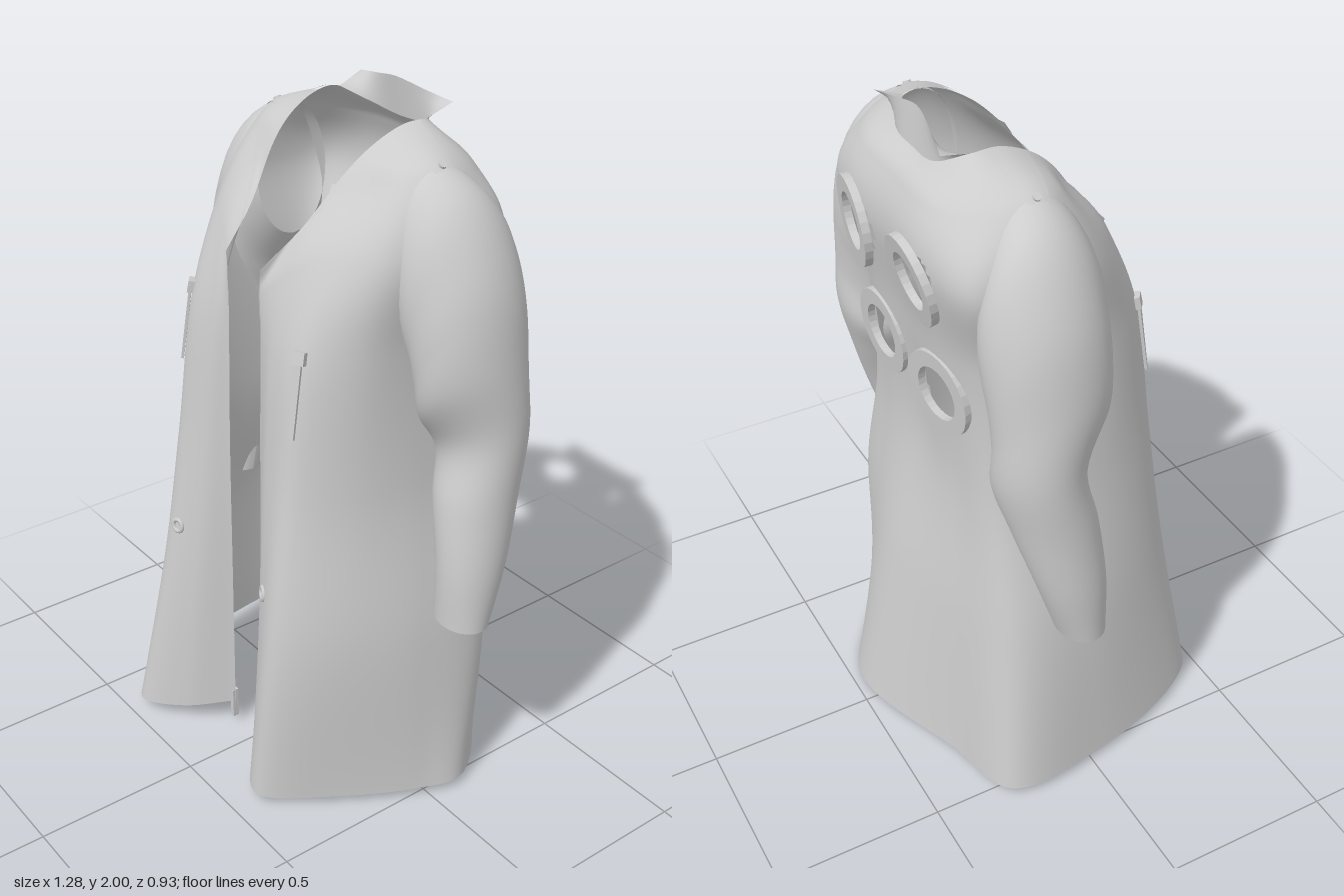
import * as THREE from 'three';

const cloth = new THREE.MeshStandardMaterial({ color: 0xcccccc, side: THREE.DoubleSide });
cloth.name = 'grey cloth';

const V = (x, y, z) => new THREE.Vector3(x, y, z);
const smooth = (pts, n) => {
  const curve = new THREE.CatmullRomCurve3(pts, false, 'catmullrom', 0.5);
  return Array.from({ length: n + 1 }, (_, i) => curve.getPoint(i / n));
};

// Smooth sheet through rows of points; faces where skip(centre) is true are left open
function loft(rows, nu, nv, skip = () => false) {
  const across = rows.map(r => smooth(r, nu));
  const cols = across[0].map((_, i) => smooth(across.map(r => r[i]), nv));
  const pos = [], index = [], id = (i, j) => i * (nv + 1) + j;
  cols.forEach(c => c.forEach(p => pos.push(p.x, p.y, p.z)));
  for (let i = 0; i < nu; i++) for (let j = 0; j < nv; j++) {
    const mid = cols[i][j].clone().add(cols[i + 1][j + 1]).multiplyScalar(0.5);
    if (skip(mid)) continue;
    index.push(id(i, j), id(i + 1, j), id(i + 1, j + 1), id(i, j), id(i + 1, j + 1), id(i, j + 1));
  }
  const g = new THREE.BufferGeometry();
  g.setAttribute('position', new THREE.Float32BufferAttribute(pos, 3));
  g.setIndex(index);
  g.computeVertexNormals();
  return g;
}

// Half cross-sections from the front edge round to the back, then the back centre
const hemRight = [[.09, .09, .27], [.2, .06, .395], [.34, .04, .462], [.455, .03, .31], [.54, .03, .03], [.55, .03, -.27], [.3, .015, -.355]];
const hemLeft = [[.06, .06, .25], [.14, .045, .37], [.255, .03, .42], [.39, .03, .25], [.51, .03, .03], [.535, .03, -.13], [.33, .015, -.34]];
const halves = [
  [[.075, .55, .265], [.17, .55, .35], [.29, .55, .38], [.41, .55, .235], [.485, .55, .01], [.47, .55, -.23], [.26, .55, -.32], [.03, .55, -.37]],
  [[.075, 1, .26], [.16, 1, .31], [.28, 1, .31], [.375, 1, .16], [.405, 1, -.04], [.37, 1, -.23], [.2, 1, -.28], [0, 1, -.28]],
  [[.075, 1.4, .25], [.15, 1.4, .27], [.27, 1.4, .255], [.36, 1.4, .13], [.38, 1.4, -.06], [.36, 1.4, -.24], [.2, 1.4, -.31], [0, 1.4, -.31]],
  [[.075, 1.51, .25], [.17, 1.62, .205], [.28, 1.66, .145], [.375, 1.67, .06], [.42, 1.68, -.08], [.4, 1.67, -.295], [.22, 1.68, -.36], [0, 1.68, -.36]],
  [[.075, 1.55, .25], [.14, 1.72, .14], [.24, 1.81, .04], [.32, 1.85, -.02], [.37, 1.86, -.11], [.33, 1.84, -.24], [.2, 1.83, -.32], [0, 1.83, -.325]],
  [[.08, 1.59, .25], [.115, 1.7, .15], [.155, 1.83, .05], [.175, 1.9, -.03], [.185, 1.94, -.12], [.185, 1.94, -.2], [.11, 1.9, -.26], [0, 1.89, -.265]],
];
const ring = (right, centre, left) => [
  ...right.map(([x, y, z]) => V(-x, y, z)), V(...centre),
  ...left.map(([x, y, z]) => V(x, y, z)).reverse()];
const bodyRows = [ring(hemRight, [.08, .005, -.47], hemLeft)];
for (const h of halves) {
  const side = h.slice(0, 7);
  const row = ring(side, h[7], side);
  row[0].x -= .015;
  row[14].x -= .015;
  bodyRows.push(row);
}

// Round back openings: x, y, z
const vents = [[-.18, 1.63, -.36], [.155, 1.63, -.36], [-.18, 1.26, -.29], [.155, 1.26, -.29]];

export function createModel() {
  const coat = new THREE.Group();
  const add = (name, geo) => {
    const m = new THREE.Mesh(geo, cloth);
    m.name = name;
    coat.add(m);
    return m;
  };

  // Open-fronted body with four round openings in the back
  const bodyGeo = loft(bodyRows, 150, 120, p => p.z < -.15 &&
    vents.some(([x, y]) => Math.hypot(p.x - x, p.y - y) < .086));
  add('body', bodyGeo);

  // Point and outward normal on the body surface nearest a target
  const P = bodyGeo.attributes.position, N = bodyGeo.attributes.normal;
  function snap(t) {
    let best = 0, bd = Infinity;
    const v = V(), n = V();
    for (let i = 0; i < P.count; i++) {
      const d = v.fromBufferAttribute(P, i).distanceToSquared(t);
      if (d < bd && n.fromBufferAttribute(N, i).lengthSq() > 0) { bd = d; best = i; }
    }
    v.fromBufferAttribute(P, best);
    n.fromBufferAttribute(N, best).normalize();
    if (n.dot(V(v.x, .3, v.z + .05)) < 0) n.negate();
    return { p: t.clone().addScaledVector(n, -t.clone().sub(v).dot(n)), n };
  }
  function place(mesh, t, up = V(0, 1, 0)) {
    const { p, n } = snap(t);
    const x = up.clone().cross(n).normalize();
    mesh.position.copy(p);
    mesh.quaternion.setFromRotationMatrix(new THREE.Matrix4().makeBasis(x, n.clone().cross(x), n));
    mesh.updateMatrix();
  }
  // Thin patch that follows the cloth, narrowing towards its top
  function drape(name, w, h, taper, t, up) {
    const geo = new THREE.PlaneGeometry(w, h, 6, 8), a = geo.attributes.position;
    const mesh = add(name, geo), q = V();
    place(mesh, t, up);
    for (let i = 0; i < a.count; i++) {
      q.fromBufferAttribute(a, i);
      q.x *= 1 - taper * (q.y / h + .5);
      const s = snap(q.applyMatrix4(mesh.matrix));
      a.setXYZ(i, ...s.p.addScaledVector(s.n, .005).toArray());
    }
    mesh.position.set(0, 0, 0);
    mesh.quaternion.identity();
    geo.computeVertexNormals();
  }

  // Stand-up collar at the back of the neck
  const base = bodyRows[6].slice(5, 10);
  const top = [[-.205, 1.965, -.29], [-.1, 1.985, -.265], [0, 2, -.25], [.1, 1.985, -.265], [.19, 1.97, -.285]].map(p => V(...p));
  add('collar', loft([base, top], 24, 4));

  // Sleeves: outer x, y, inner x, y, centre z, depth radius
  const sleeve = [
    [.3, 1.885, .28, 1.5, -.11, .12], [.37, 1.87, .34, 1.4, -.115, .155], [.45, 1.815, .36, 1.33, -.125, .175],
    [.515, 1.72, .37, 1.28, -.13, .175], [.57, 1.58, .37, 1.24, -.13, .17],
    [.6, 1.4, .37, 1.18, -.135, .16], [.615, 1.2, .365, 1.09, -.17, .125], [.625, 1, .4, .98, -.135, .12],
    [.638, .8, .45, .82, -.1, .1], [.635, .625, .465, .635, -.07, .07]];
  for (const s of [-1, 1]) {
    const rows = sleeve.map(([ox, oy, ix, iy, cz, rz]) => Array.from({ length: 21 }, (_, i) => {
      const a = i / 20 * Math.PI * 2, k = (1 + Math.cos(a)) / 2;
      return V(s * (ox + (ix - ox) * k), oy + (iy - oy) * k, cz + rz * Math.sin(a));
    }));
    add(s < 0 ? 'rightSleeve' : 'leftSleeve', loft(rows, 40, 60));
  }

  // Flat rings round the back openings
  const disc = new THREE.Shape().absarc(0, 0, .127, 0, Math.PI * 2);
  disc.holes.push(new THREE.Path().absarc(0, 0, .08, 0, Math.PI * 2, true));
  const ventGeo = new THREE.ExtrudeGeometry(disc, { depth: .022, bevelEnabled: false, curveSegments: 14 }).translate(0, 0, -.008);
  for (const v of vents) place(add('ventRing', ventGeo), V(...v));

  // Tapered pocket pulls with square heads
  const strip = new THREE.Shape([[-.014, 0], [.014, 0], [.007, -.23], [-.007, -.23]].map(p => new THREE.Vector2(...p)));
  const stripGeo = new THREE.ExtrudeGeometry(strip, { depth: .008, bevelEnabled: false }).translate(0, .115, 0);
  for (const [x, y] of [[-.275, 1.43], [.25, 1.41]]) {
    place(add('pocketPull', stripGeo), V(x, y - .11, .26));
    place(add('pullHead', new THREE.BoxGeometry(.036, .036, .03)), V(x, y, .25));
  }

  // Ring snaps on the skirt
  for (const [x, y, z] of [[-.23, .7, .36], [.19, .68, .34]])
    place(add('snap', new THREE.TorusGeometry(.018, .007, 8, 20)), V(x, y, z));

  // Chest patch
  drape('chestPatch', .12, .065, 0, V(.205, 1.78, .07), V(0, 1, 0));

  // Shoulder straps with buttons
  const button = new THREE.CylinderGeometry(.011, .011, .02, 16).rotateX(Math.PI / 2);
  for (const s of [-1, 1]) {
    const out = V(s, 0, 0);
    drape('shoulderStrap', .13, .19, .5, V(s * .285, 1.91, -.105), out);
    place(add('shoulderButton', button), V(s * .355, 1.88, -.11), out);
  }

  // Fastener at the foot of the front edge
  add('zipEnd', new THREE.BoxGeometry(.014, .1, .02)).position.set(-.098, .08, .268);
  return coat;
}
